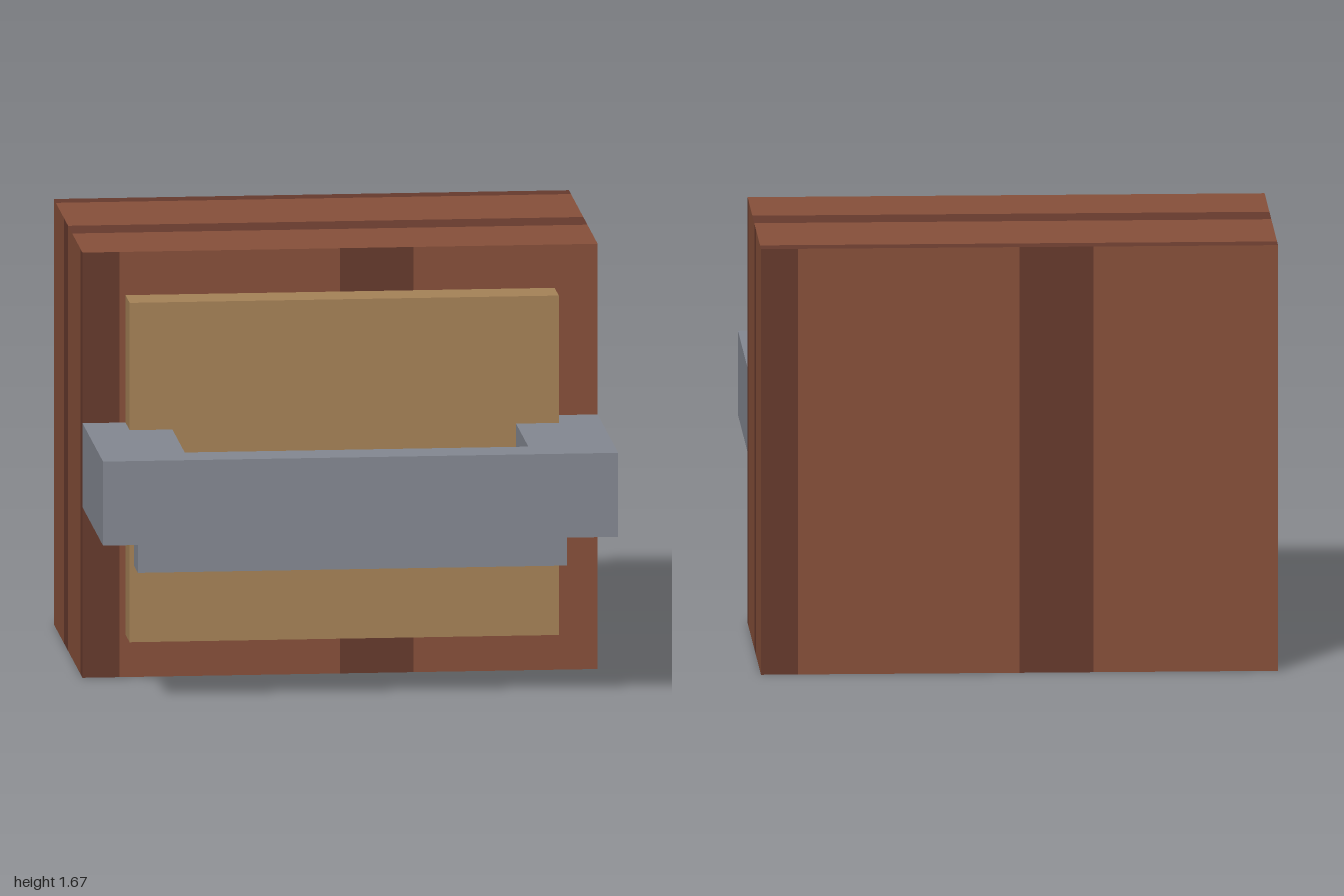
import * as THREE from 'three';

const mat = (name, color) => new THREE.MeshStandardMaterial({ name, color });

export function createModel() {
  const wood = mat('brown', 0x87503a);
  const darkWood = mat('dark brown', 0x663a2d);
  const gold = mat('ochre', 0xa58257);
  const steel = mat('grey', 0x848892);

  const model = new THREE.Group();
  const W = 2, H = 1.67, BACK = -1, FRONT = 0.165;
  const D = FRONT - BACK, MID = (FRONT + BACK) / 2;

  const box = (name, material, x0, x1, y0, y1, z0, z1) => {
    const mesh = new THREE.Mesh(new THREE.BoxGeometry(x1 - x0, y1 - y0, z1 - z0), material);
    mesh.position.set((x0 + x1) / 2, (y0 + y1) / 2, (z0 + z1) / 2);
    mesh.name = name;
    model.add(mesh);
  };

  // Chest walls: each is a row of boards, dark at 0-1 and 7-9 fourteenths
  const body = new THREE.Group();
  body.name = 'chestBody';
  model.add(body);
  const edges = [0, 1, 7, 9, 14];
  const wall = (name, length, height, alongY, flip, pos, rot) => {
    const group = new THREE.Group();
    group.name = name;
    for (let i = 0; i < 4; i++) {
      const a = edges[i] / 14, b = edges[i + 1] / 14;
      const size = (b - a) * length;
      const at = ((a + b) / 2 - 0.5) * length * (flip ? -1 : 1);
      const board = new THREE.Mesh(
        alongY ? new THREE.PlaneGeometry(height, size) : new THREE.PlaneGeometry(size, height),
        i % 2 ? wood : darkWood);
      board.position.set(alongY ? 0 : at, alongY ? at : 0, 0);
      board.name = i % 2 ? 'board' : 'darkBand';
      group.add(board);
    }
    group.position.set(...pos);
    group.rotation.set(...rot);
    body.add(group);
  };
  wall('frontWall', W, H, false, false, [0, H / 2, FRONT], [0, 0, 0]);
  wall('backWall', W, H, false, false, [0, H / 2, BACK], [0, Math.PI, 0]);
  wall('leftWall', D, H, false, false, [1, H / 2, MID], [0, Math.PI / 2, 0]);
  wall('rightWall', D, H, false, true, [-1, H / 2, MID], [0, -Math.PI / 2, 0]);
  wall('lid', D, W, true, true, [0, H, MID], [-Math.PI / 2, 0, 0]);

  // Base: nested flat outlines with clipped corners; shape y becomes z
  const outline = (x, z0, z1, c) => [
    [-x + c, z0], [x - c, z0], [x, z0 + c], [x, z1 - c],
    [x - c, z1], [-x + c, z1], [-x, z1 - c], [-x, z0 + c],
  ].map(p => new THREE.Vector2(...p));
  const rim = outline(1, BACK, FRONT, 0);
  const panel = outline(0.857, BACK + 0.083, FRONT - 0.083, 0.035);
  const inlay = outline(0.286, -0.417, -0.25, 0.035);
  const basePart = (name, material, points, hole) => {
    const shape = new THREE.Shape(points);
    if (hole) shape.holes.push(new THREE.Path(hole));
    const mesh = new THREE.Mesh(new THREE.ShapeGeometry(shape), material);
    mesh.rotation.x = Math.PI / 2;
    mesh.name = name;
    body.add(mesh);
  };
  basePart('baseRim', darkWood, rim, panel);
  basePart('basePanel', wood, panel, inlay);
  basePart('baseInlay', gold, inlay);

  // Front plate
  box('frontPlate', gold, -0.833, 0.833, 0.167, 1.5, FRONT, 0.333);

  // U-shaped handle: two arms and a front bar in one outline
  const u = new THREE.Shape([
    [-1, -FRONT], [-1, -1], [1, -1], [1, -FRONT],
    [0.667, -FRONT], [0.667, -0.833], [-0.667, -0.833], [-0.667, -FRONT],
  ].map(p => new THREE.Vector2(...p)));
  const handle = new THREE.Mesh(
    new THREE.ExtrudeGeometry(u, { depth: 0.33, bevelEnabled: false }), steel);
  handle.rotation.x = -Math.PI / 2;
  handle.position.y = 0.67;
  handle.name = 'handle';
  model.add(handle);

  // Cross bar slung between the arms
  box('crossBar', steel, -0.833, 0.833, 0.5, 0.833, 0.5, 0.667);

  return model;
}
